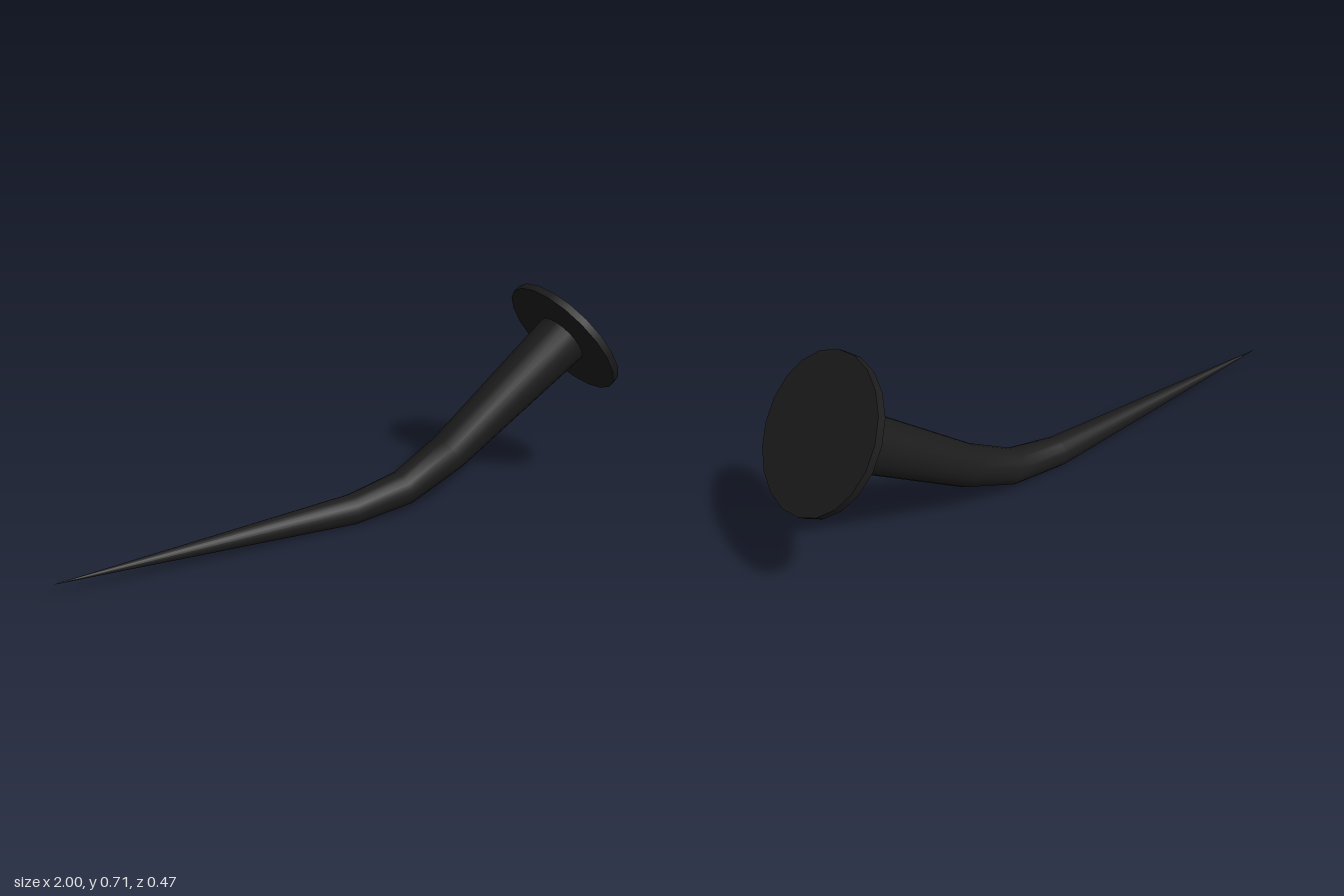
import * as THREE from 'three';

const SIDES = 20;
const material = new THREE.MeshStandardMaterial({ color: 0x1c1c1c });
const HEAD_TILT = THREE.MathUtils.degToRad(35.4);

// Round shaft swept through [x, y, radius, tilt] sections
function sweptShaft(sections) {
  const positions = [];
  const index = [];
  sections.forEach(([x, y, r, tilt], i) => {
    for (let j = 0; j < SIDES; j++) {
      const a = (j / SIDES) * Math.PI * 2;
      const up = r * Math.cos(a);
      positions.push(x - up * Math.sin(tilt), y + up * Math.cos(tilt), r * Math.sin(a));
      if (i === sections.length - 1) continue;
      const p = i * SIDES + j;
      const q = i * SIDES + ((j + 1) % SIDES);
      index.push(p, q, p + SIDES, q, q + SIDES, p + SIDES);
    }
  });
  const geometry = new THREE.BufferGeometry();
  geometry.setAttribute('position', new THREE.Float32BufferAttribute(positions, 3));
  geometry.setIndex(index);
  geometry.computeVertexNormals();
  return geometry;
}

export function createModel() {
  const group = new THREE.Group();
  group.name = 'bentNail';

  // Shaft: needle point, bend, then a widening neck up to the head
  const shaft = new THREE.Mesh(sweptShaft([
    [-1, 0.052, 0.0005, 0],
    [0, 0.052, 0.051, 0],
    [0.198, 0.085, 0.06, 0.29],
    [0.378, 0.177, 0.069, 0.57],
    [0.846, 0.51, 0.096, HEAD_TILT],
  ]), material);
  shaft.name = 'shaft';
  group.add(shaft);

  // Flat round head, square to the end of the shaft
  const head = new THREE.Mesh(new THREE.CylinderGeometry(0.235, 0.235, 0.025, SIDES), material);
  head.name = 'head';
  head.position.set(0.853, 0.514, 0);
  head.rotation.z = HEAD_TILT - Math.PI / 2;
  group.add(head);

  return group;
}
